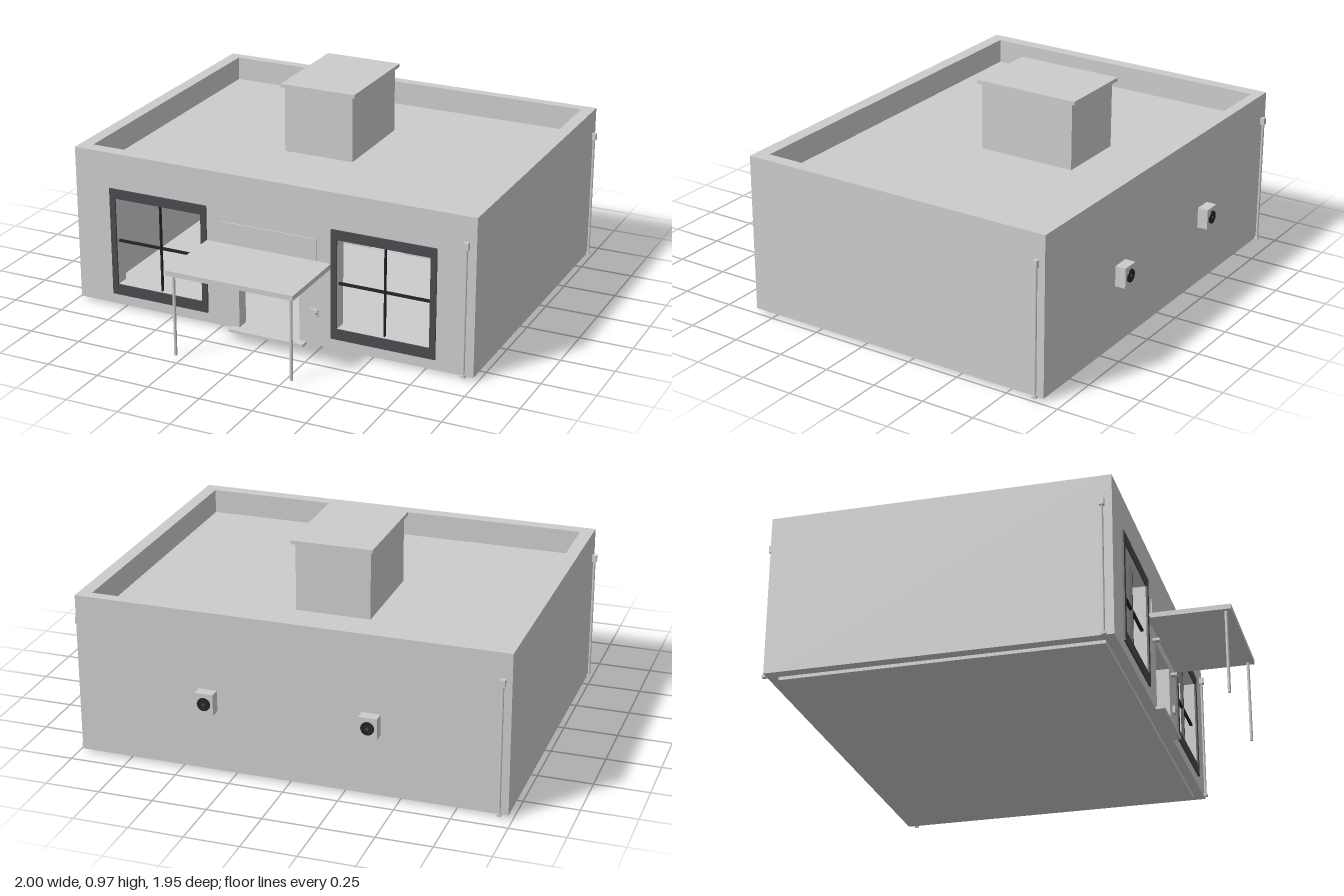
import * as THREE from 'three';

const material = (name, color) => {
  const m = new THREE.MeshStandardMaterial({ color });
  m.name = name;
  return m;
};

export function createModel() {
  const model = new THREE.Group();
  model.name = 'building';
  const plaster = material('light grey plaster', 0xcccccc);
  const frameGrey = material('dark frame grey', 0x4a4a4f);
  const black = material('grille black', 0x242426);

  const add = (name, geometry, mat, parent = model) => {
    const mesh = new THREE.Mesh(geometry, mat);
    mesh.name = name;
    parent.add(mesh);
    return mesh;
  };
  // Box given by its minimum and maximum on each axis
  const box = (name, x0, x1, y0, y1, z0, z1, mat = plaster, parent = model) => {
    const mesh = add(name, new THREE.BoxGeometry(x1 - x0, y1 - y0, z1 - z0), mat, parent);
    mesh.position.set((x0 + x1) / 2, (y0 + y1) / 2, (z0 + z1) / 2);
    return mesh;
  };
  const trace = (path, x0, x1, y0, y1) =>
    path.moveTo(x0, y0).lineTo(x1, y0).lineTo(x1, y1).lineTo(x0, y1).closePath();
  // Upright panel with rectangular openings [x0, x1, y0, y1]
  const panel = (name, outer, openings, z0, z1, mat = plaster, parent = model) => {
    const shape = trace(new THREE.Shape(), ...outer);
    shape.holes = openings.map((o) => trace(new THREE.Path(), ...o));
    const geometry = new THREE.ExtrudeGeometry(shape, { depth: z1 - z0, bevelEnabled: false });
    add(name, geometry, mat, parent).position.z = z0;
  };

  // Shell: base, floor, walls, sunken roof behind the parapet
  box('basePlate', -0.93, 0.93, 0, 0.015, -0.87, 0.555);
  box('floor', -0.92, 0.92, 0.015, 0.022, -0.87, 0.54);
  box('backWall', -0.98, 0.98, 0.015, 0.755, -0.92, -0.87);
  for (const s of [-1, 1]) {
    box('sideWall', Math.min(s * 0.92, s * 0.98), Math.max(s * 0.92, s * 0.98), 0.015, 0.755, -0.87, 0.54);
  }
  panel('frontWall', [-0.98, 0.98, 0.015, 0.755], [
    [-0.775, -0.335, 0.115, 0.54], [0.335, 0.775, 0.115, 0.54], [-0.15, 0.15, 0.022, 0.35],
  ], 0.54, 0.602);
  box('roof', -0.92, 0.92, 0.62, 0.64, -0.87, 0.54);

  // Inner partition with doorways
  panel('partition', [-0.92, 0.92, 0.022, 0.62], [
    [-0.75, -0.57, 0.024, 0.3], [-0.325, -0.145, 0.024, 0.3],
    [0.01, 0.19, 0.024, 0.3], [0.51, 0.69, 0.024, 0.3],
  ], -0.5, -0.47);

  // Roof hut
  box('roofHut', -0.235, 0.11, 0.64, 0.955, -0.51, -0.035);
  box('roofHutCap', -0.25, 0.125, 0.955, 0.972, -0.53, -0.02);

  // Windows with dark surrounds and cross bars
  for (const s of [-1, 1]) {
    const win = new THREE.Group();
    win.name = 'window';
    const c = s * 0.555;
    panel('windowFrame', [c - 0.248, c + 0.248, 0.065, 0.585],
      [[c - 0.22, c + 0.22, 0.115, 0.54]], 0.602, 0.61, frameGrey, win);
    box('verticalBar', c - 0.003, c + 0.003, 0.115, 0.54, 0.575, 0.59, black, win);
    box('horizontalBar', c - 0.22, c + 0.22, 0.32, 0.33, 0.575, 0.588, black, win);
    model.add(win);
  }

  // Entrance: step, sign board, lamps, wall box, canopy on two posts
  box('doorStep', -0.185, 0.185, 0.01, 0.022, 0.602, 0.642);
  box('signBoard', -0.235, 0.235, 0.425, 0.525, 0.602, 0.608);
  box('wallBox', 0.207, 0.245, 0.155, 0.19, 0.602, 0.614);
  box('wallBoxKnob', 0.236, 0.241, 0.17, 0.176, 0.614, 0.617, frameGrey);
  box('canopy', -0.308, 0.305, 0.397, 0.42, 0.602, 0.975);
  for (const s of [-1, 1]) {
    box('lamp', s * 0.195 - 0.016, s * 0.195 + 0.016, 0.33, 0.342, 0.602, 0.634);
    const post = add('canopyPost', new THREE.CylinderGeometry(0.007, 0.007, 0.387, 12), plaster);
    post.position.set(s * 0.283, 0.2035, 0.948);
  }

  // Downpipes near the four corners
  for (const [x, z] of [[-0.99, 0.56], [0.937, 0.611], [0.988, -0.882], [-0.942, -0.93]]) {
    const pipe = new THREE.Group();
    pipe.name = 'downpipe';
    box('pipeHead', -0.011, 0.011, 0.608, 0.64, -0.01, 0.01, plaster, pipe);
    add('pipe', new THREE.CylinderGeometry(0.006, 0.006, 0.59, 10), plaster, pipe).position.y = 0.313;
    box('pipeFoot', -0.009, 0.009, 0.012, 0.024, -0.009, 0.009, plaster, pipe);
    pipe.position.set(x, 0, z);
    model.add(pipe);
  }

  // Air units on the back wall
  for (const x of [-0.373, 0.368]) {
    const unit = new THREE.Group();
    unit.name = 'airUnit';
    box('airUnitCase', -0.042, 0.042, -0.048, 0.048, -0.97, -0.92, plaster, unit);
    const fan = add('fanGrille', new THREE.CylinderGeometry(0.03, 0.03, 0.005, 24), black, unit);
    fan.rotation.x = Math.PI / 2;
    fan.position.z = -0.9725;
    const hub = add('fanHub', new THREE.CylinderGeometry(0.007, 0.007, 0.003, 12), frameGrey, unit);
    hub.rotation.x = Math.PI / 2;
    hub.position.z = -0.976;
    unit.position.set(x, 0.348, 0);
    model.add(unit);
  }
  return model;
}
